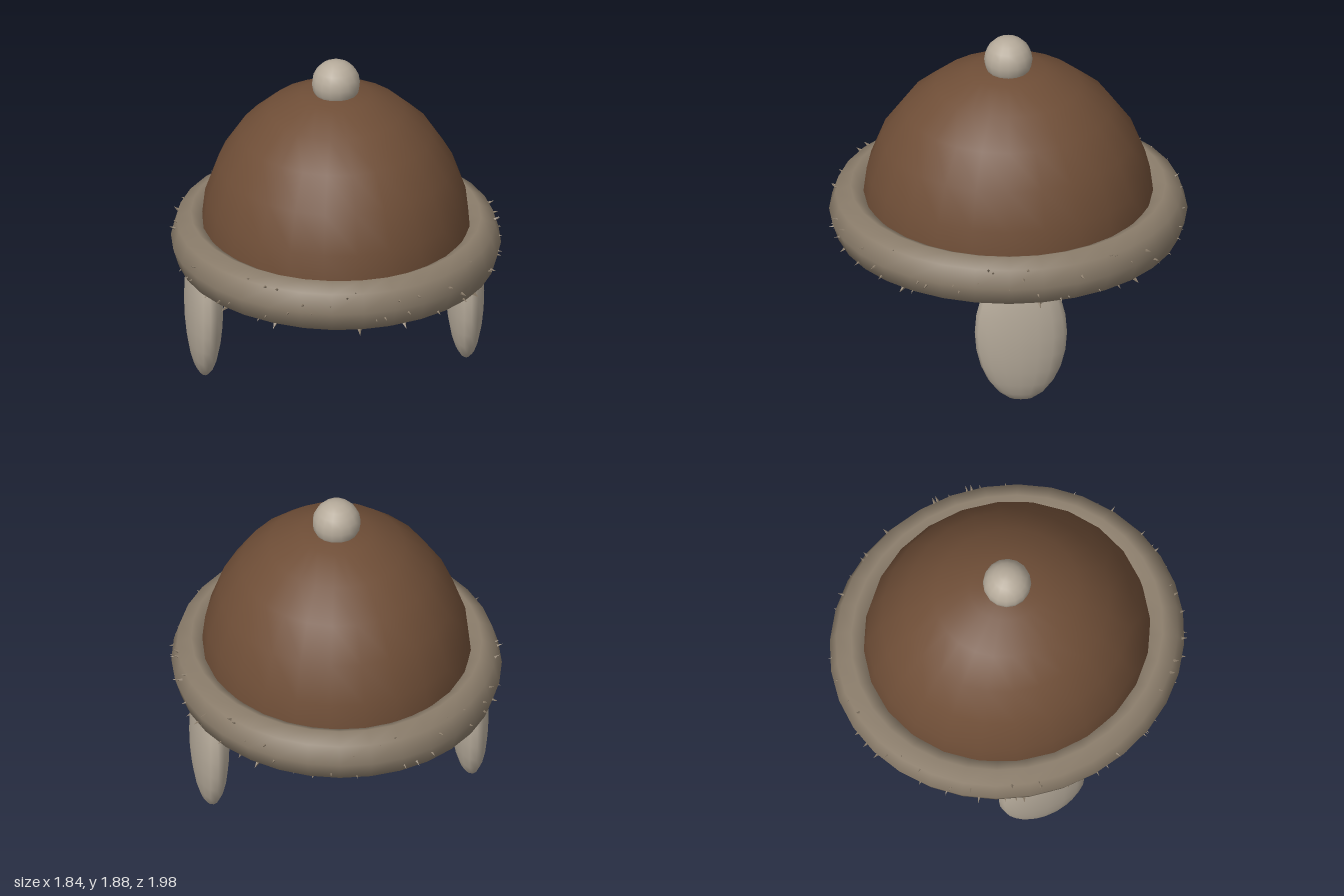
import * as THREE from 'three';

export function createModel() {
  const hat = new THREE.Group();
  hat.name = 'hat';

  const leather = new THREE.MeshStandardMaterial({ color: 0x6f4e37, side: THREE.DoubleSide });
  leather.name = 'brown leather';
  const fur = new THREE.MeshStandardMaterial({ color: 0x8b7d6b });
  fur.name = 'grey brown fur';
  const fleece = new THREE.MeshStandardMaterial({ color: 0xb5aa9a });
  fleece.name = 'pale fleece';

  const add = (name, geometry, material, x = 0, y = 0, z = 0) => {
    const mesh = new THREE.Mesh(geometry, material);
    mesh.name = name;
    mesh.position.set(x, y, z);
    hat.add(mesh);
    return mesh;
  };

  // Open crown: half an ellipsoid
  const crown = new THREE.SphereGeometry(1, 24, 6, 0, Math.PI * 2, 0, Math.PI / 2);
  add('crown', crown.scale(0.75, 0.88, 0.81), leather, 0, 0.83, 0);

  // Pompom
  add('pompom', new THREE.SphereGeometry(0.134, 16, 10), fleece, 0, 1.75, 0);

  // Oval brim roll
  const R = 0.8, r = 0.11, tall = 1.36, long = 1.088, brimY = 0.8;
  const brim = new THREE.TorusGeometry(R, r, 8, 32).rotateX(Math.PI / 2);
  add('brim', brim.scale(1, tall, long), fur, 0, brimY, 0);

  // Ear flaps
  for (const side of [-1, 1]) {
    const flap = new THREE.SphereGeometry(1, 16, 12).scale(0.102, 0.43, 0.255);
    add(side > 0 ? 'leftEarFlap' : 'rightEarFlap', flap, fleece, side * 0.73, 0.43, -0.065);
  }

  // Fur tufts: small cones standing out from the brim
  const tufts = new THREE.Group();
  tufts.name = 'furTufts';
  hat.add(tufts);
  let seed = 7;
  const rand = () => (seed = (seed * 16807) % 2147483647) / 2147483647;
  const up = new THREE.Vector3(0, 1, 0);
  // around: angle from the front towards +x, rise: angle up the side of the roll
  const addTuft = (around, rise, length, width) => {
    const ring = R + r * 0.93 * Math.cos(rise);
    const cone = new THREE.ConeGeometry(width, length, 4).toNonIndexed();
    cone.computeVertexNormals();
    const tuft = new THREE.Mesh(cone, fur);
    tuft.name = 'tuft';
    tuft.position.set(
      Math.sin(around) * ring,
      brimY + r * 0.93 * tall * Math.sin(rise),
      Math.cos(around) * ring * long
    );
    const tilt = rise * 0.6 + (rand() - 0.5) * 0.4;
    const out = new THREE.Vector3(
      Math.sin(around) * Math.cos(tilt), Math.sin(tilt), Math.cos(around) * Math.cos(tilt)
    );
    tuft.quaternion.setFromUnitVectors(up, out.normalize());
    tufts.add(tuft);
  };
  for (let i = 0; i < 70; i++) {
    const size = 0.5 + rand() * 0.7;
    addTuft((i + rand()) / 70 * Math.PI * 2, (rand() - 0.5) * 1.9, 0.055 * size, 0.013 * size);
  }
  // Larger tufts: a few low on the roll, a few higher up
  for (const a of [-0.57, -0.02, 0.28, 0.9, 1.75, 2.4, -0.95, -1.8]) addTuft(a, -0.95, 0.085, 0.024);
  for (const a of [-0.55, -0.63, 1.45, 1.68, -1.87, 2.2]) addTuft(a, 0.8, 0.075, 0.02);

  return hat;
}
